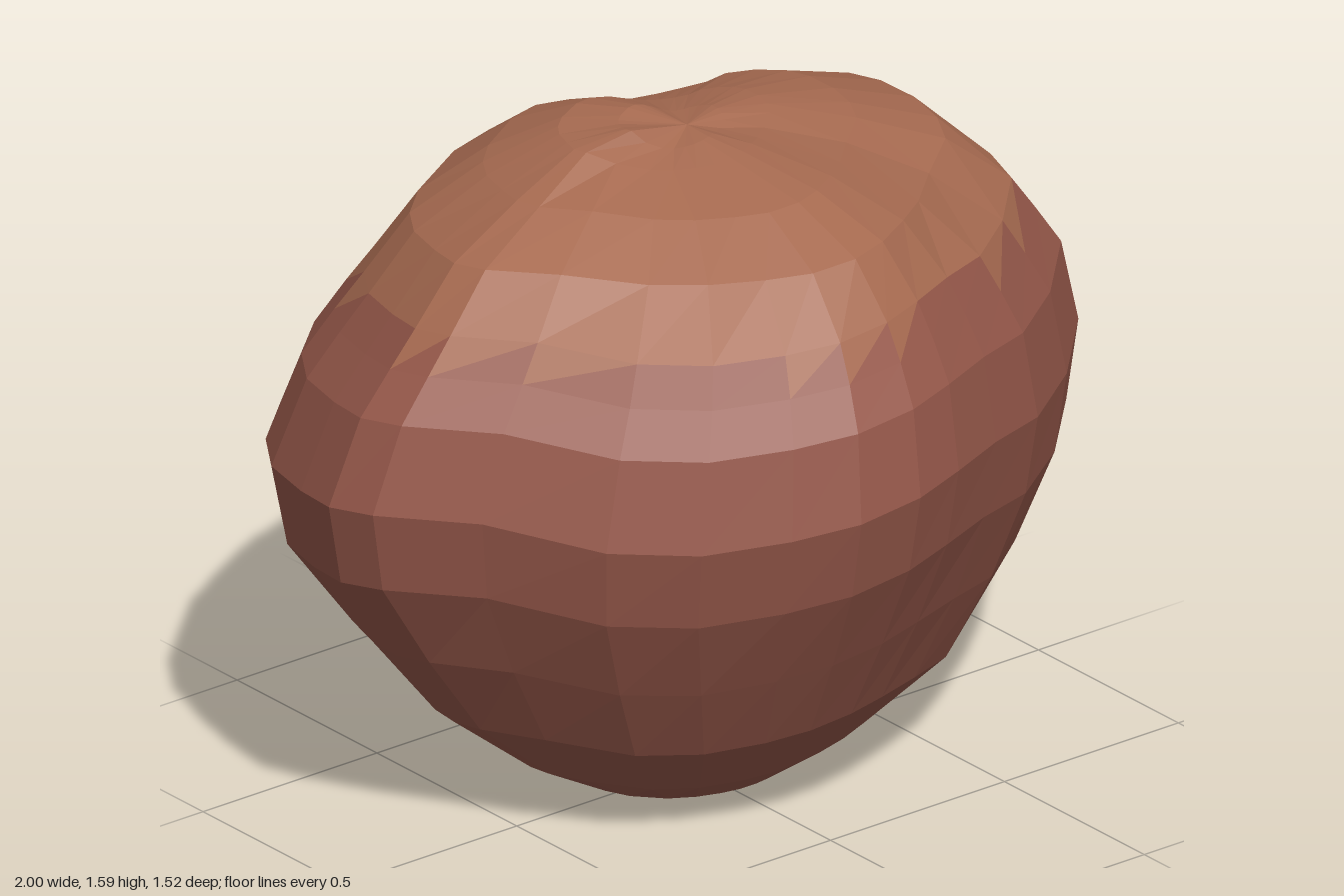
import * as THREE from 'three';

// Widest outline seen from above (x, z), from the +x side round the front
const outline = [
  [1, 0.05], [0.97, 0.18], [0.8, 0.35], [0.58, 0.52], [0.38, 0.62], [0.2, 0.71], [0.05, 0.76],
  [-0.12, 0.76], [-0.27, 0.7], [-0.45, 0.6], [-0.62, 0.47], [-0.8, 0.25], [-0.97, 0.07], [-1, -0.05],
  [-0.96, -0.2], [-0.9, -0.38], [-0.82, -0.5], [-0.7, -0.6], [-0.45, -0.72], [-0.27, -0.76],
  [-0.1, -0.72], [0.02, -0.64], [0.2, -0.61], [0.35, -0.61], [0.5, -0.6], [0.63, -0.58],
  [0.76, -0.59], [0.88, -0.52], [0.97, -0.4], [1, -0.27], [1, -0.1],
];
// Each level: height, min x, max x, min z, max z
const levels = [
  [0, -0.23, 0.32, -0.24, 0.16], [0.1, -0.41, 0.5, -0.38, 0.3], [0.28, -0.63, 0.73, -0.53, 0.47],
  [0.5, -0.8, 0.87, -0.63, 0.59], [0.73, -0.96, 0.98, -0.73, 0.71], [0.93, -1, 1, -0.76, 0.76],
  [1.13, -0.92, 0.95, -0.7, 0.72], [1.22, -0.83, 0.89, -0.66, 0.66], [1.3, -0.76, 0.83, -0.61, 0.61],
  [1.42, -0.64, 0.71, -0.54, 0.51], [1.5, -0.44, 0.49, -0.43, 0.33], [1.54, -0.26, 0.28, -0.28, 0.12],
  [1.555, -0.13, 0.14, -0.16, 0.03],
];
const CROWN = 8;                                        // level where the lighter top begins
const hollow = { j0: 20, j1: 26, i0: 3, i1: 8, apex: new THREE.Vector3(0.42, 0.75, -0.24) };

// Raised fold on the crown, ending abruptly at its front edge
const crownBump = (x, z) =>
  (z < -0.05 ? 0.05 : 0.012) * Math.exp(-((x + 0.16) ** 2 / 0.04 + (z + 0.18) ** 2 / 0.04));

function surfacePoint(i, j) {
  const [y, x0, x1, z0, z1] = levels[i];
  const [ox, oz] = outline[j];
  const a = Math.atan2(oz / 0.76, ox);
  const diagonal = (1 - Math.cos(4 * (a + 0.2))) / 2;
  // Low levels are rounder than the widest outline, the crown is pinched at the front diagonals
  const round = Math.max(0, 0.8 * (1 - y / 0.75));
  const pinch = y > 1.35 && oz > 0 ? 1 - 0.1 * diagonal : 1;
  const nx = THREE.MathUtils.lerp(ox, Math.cos(a), round) * pinch;
  const nz = THREE.MathUtils.lerp(oz / 0.76, Math.sin(a), round) * pinch;
  const x = (x0 + x1) / 2 + nx * (x1 - x0) / 2;
  const z = (z0 + z1) / 2 + nz * (z1 - z0) / 2;
  // Levels sag gently at the diagonals
  const sag = 0.065 * Math.sin(Math.PI * y / 1.7) * diagonal;
  const p = new THREE.Vector3(x, y - sag + (y > 1.35 ? crownBump(x, z) : 0), z);
  // Pull the back patch inwards: steep walls, with a bevelled rim on the +x side
  const depth = Math.min(j - hollow.j0, hollow.j1 - j, i - hollow.i0, hollow.i1 - i);
  if (depth > 0) {
    const pull = j === hollow.j1 - 1 ? 0.2 : depth === 1 ? 0.6 : 0.95;
    p.lerp(new THREE.Vector3(THREE.MathUtils.lerp(x, hollow.apex.x, 0.6), hollow.apex.y, hollow.apex.z), pull);
  }
  return p;
}

function makeMesh(name, triangles, color) {
  const geometry = new THREE.BufferGeometry().setFromPoints(triangles);
  geometry.computeVertexNormals();
  const material = new THREE.MeshStandardMaterial({ color, flatShading: true, side: THREE.DoubleSide });
  const mesh = new THREE.Mesh(geometry, material);
  mesh.name = name;
  return mesh;
}

export function createModel() {
  const n = outline.length;
  const grid = levels.map((_, i) => outline.map((_, j) => surfacePoint(i, j)));
  const body = [], crown = [];
  const base = new THREE.Vector3(0.05, 0, -0.04);
  const peak = new THREE.Vector3(0.03, 1.56, -0.05);

  for (let j = 0; j < n; j++) {
    const k = (j + 1) % n;
    body.push(base, grid[0][j], grid[0][k]);            // flat foot
    for (let i = 0; i < levels.length - 1; i++) {
      const a = grid[i][j], b = grid[i + 1][j], c = grid[i + 1][k], d = grid[i][k];
      const target = i >= CROWN ? crown : body;
      const inHollow = j >= hollow.j0 && j < hollow.j1;
      // Ragged lower edge of the crown colour
      const tooth = i === CROWN - 1 && j % 5 < 3 && !inHollow ? crown : target;
      target.push(a, b, d);
      tooth.push(b, c, d);
    }
    const top = grid[levels.length - 1];
    crown.push(top[j], peak, top[k]);
  }

  const group = new THREE.Group();
  group.name = 'lumpyHollowedBody';
  group.add(makeMesh('bodyWithHollow', body, 0x96584a), makeMesh('crown', crown, 0xa66a50));
  return group;
}
